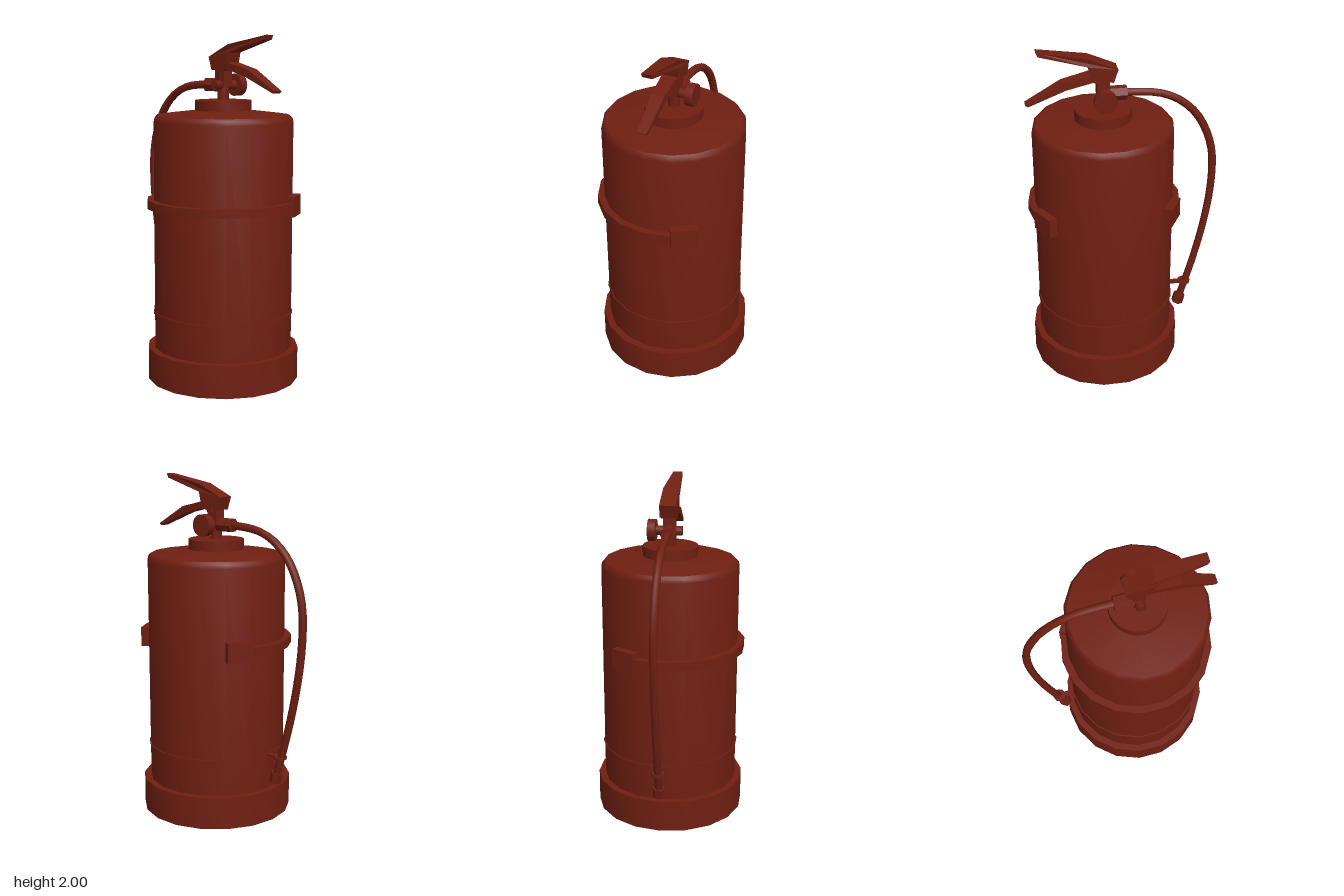
import * as THREE from 'three';
import { toCreasedNormals } from 'three/addons/utils/BufferGeometryUtils.js';

const material = new THREE.MeshStandardMaterial({ color: 0x701f12 });
const AXIS_X = 0.11; // centre line of the tank
const v2 = (p) => new THREE.Vector2(...p);

function add(parent, name, geometry, x = 0, y = 0, z = 0) {
  const mesh = new THREE.Mesh(geometry, material);
  mesh.name = name;
  mesh.position.set(x, y, z);
  parent.add(mesh);
  return mesh;
}

// Turned part around the tank axis, with creased edges
function turned(points, segments = 18, start = Math.PI / 2, sweep = Math.PI * 2) {
  return toCreasedNormals(new THREE.LatheGeometry(points.map(v2), segments, start, sweep), 0.6);
}

// Side profile extruded across z, its half width following widthAt(x)
function lever(points, widthAt) {
  const geo = new THREE.ExtrudeGeometry(new THREE.Shape(points.map(v2)), { depth: 2, bevelEnabled: false });
  geo.translate(0, 0, -1);
  const pos = geo.attributes.position;
  for (let i = 0; i < pos.count; i++) pos.setZ(i, pos.getZ(i) * widthAt(pos.getX(i)));
  geo.computeVertexNormals();
  return geo;
}

const taper = (x0, x1, w0, w1) => (x) => THREE.MathUtils.clamp(THREE.MathUtils.mapLinear(x, x0, x1, w0, w1), Math.min(w0, w1), Math.max(w0, w1));

// Cylinder lying along z or x
const rodZ = (r, length, sides) => toCreasedNormals(new THREE.CylinderGeometry(r, r, length, sides).rotateX(Math.PI / 2), 0.6);
const rodX = (r, length, sides) => toCreasedNormals(new THREE.CylinderGeometry(r, r, length, sides).rotateZ(Math.PI / 2), 0.6);

export function createModel() {
  const model = new THREE.Group();
  model.name = 'fireExtinguisher';

  // Tank, foot and collar
  add(model, 'tank', turned([[0.4, 0.1], [0.405, 0.19], [0.405, 1.515], [0.4, 1.535], [0.387, 1.55], [0.16, 1.577], [0, 1.58]]), AXIS_X);
  add(model, 'foot', turned([[0, 0], [0.445, 0], [0.445, 0.19], [0.4, 0.19]]), AXIS_X);
  add(model, 'collar', turned([[0.162, 1.56], [0.162, 1.635], [0, 1.635]], 32), AXIS_X);

  // Strap around the front, ending in a clip on each side
  const strapSweep = THREE.MathUtils.degToRad(220);
  add(model, 'strap', turned([[0.395, 1.015], [0.445, 1.015], [0.445, 1.065], [0.395, 1.065]], 11, -strapSweep / 2, strapSweep), AXIS_X);
  for (const side of [-1, 1]) {
    const angle = side * Math.PI * 2 / 3;
    const clip = add(model, side > 0 ? 'leftClip' : 'rightClip', new THREE.BoxGeometry(0.15, 0.115, 0.05),
      AXIS_X + Math.sin(angle) * 0.421, 1.043, Math.cos(angle) * 0.421);
    clip.rotation.y = angle;
  }

  // Thin ring with the loop that holds the hose
  add(model, 'hoseRing', turned([[0.395, 0.393], [0.412, 0.393], [0.412, 0.407], [0.395, 0.407]]), AXIS_X);
  add(model, 'hoseLoop', new THREE.CylinderGeometry(0.04, 0.04, 0.014, 8), -0.388, 0.4, 0);
  add(model, 'loopArm', new THREE.BoxGeometry(0.09, 0.014, 0.03), -0.325, 0.4, 0);

  // Valve
  add(model, 'valveStem', toCreasedNormals(new THREE.CylinderGeometry(0.036, 0.033, 0.23, 12), 0.6), AXIS_X, 1.735, 0);
  add(model, 'valveHead', lever([[0.075, 1.72], [0.145, 1.72], [0.145, 1.85], [0.075, 1.85]], () => 0.034), 0, 0, -0.004);
  add(model, 'crossPin', rodZ(0.028, 0.17, 12), AXIS_X, 1.72, -0.015);
  add(model, 'gauge', rodZ(0.064, 0.046, 20), AXIS_X, 1.72, -0.107);
  add(model, 'hoseConnector', rodX(0.042, 0.115, 6), 0.033, 1.72, 0);

  // Handles
  add(model, 'upperLever', lever([[0.03, 1.88], [0.055, 1.805], [0.18, 1.838], [0.195, 1.905], [0.465, 1.975], [0.475, 2], [0.19, 1.95]],
    taper(0.19, 0.475, 0.048, 0.028)), 0, 0, -0.007);
  add(model, 'lowerHandle', lever([[0.1, 1.79], [0.17, 1.812], [0.315, 1.775], [0.53, 1.685], [0.545, 1.697], [0.34, 1.812], [0.18, 1.85], [0.1, 1.84]],
    taper(0.15, 0.54, 0.046, 0.027)), 0, 0, -0.007);

  // Hose and its nozzle
  const path = new THREE.CatmullRomCurve3([
    [0, 1.72], [-0.1, 1.717], [-0.22, 1.7], [-0.33, 1.65], [-0.43, 1.555], [-0.5, 1.42], [-0.53, 1.3],
    [-0.536, 1.17], [-0.525, 1], [-0.49, 0.78], [-0.44, 0.56], [-0.39, 0.38], [-0.36, 0.28],
  ].map(([x, y]) => new THREE.Vector3(x, y, 0)));
  add(model, 'hose', new THREE.TubeGeometry(path, 32, 0.023, 8));
  const nozzle = add(model, 'nozzle', toCreasedNormals(new THREE.CylinderGeometry(0.036, 0.036, 0.06, 6), 0.6), -0.358, 0.273, 0);
  nozzle.rotation.z = 0.24;

  return model;
}
